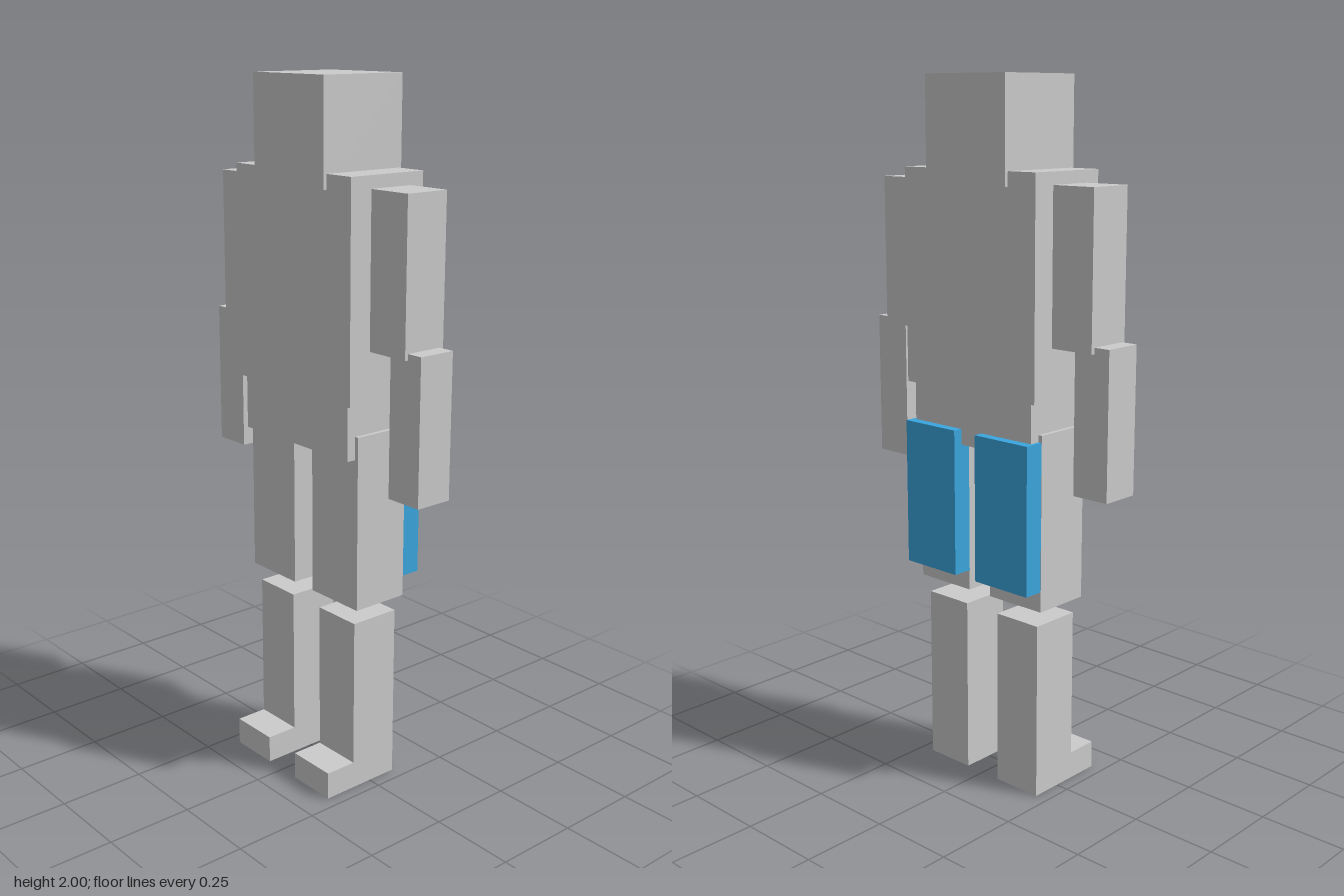
import * as THREE from 'three';

const grey = new THREE.MeshStandardMaterial({ color: 0xcccccc, flatShading: true });
const blue = new THREE.MeshStandardMaterial({ color: 0x3ba6de, flatShading: true });

// Box given by its [min, max] range on each axis
function box(name, [x0, x1], [y0, y1], [z0, z1], material = grey) {
  const mesh = new THREE.Mesh(new THREE.BoxGeometry(x1 - x0, y1 - y0, z1 - z0), material);
  mesh.position.set((x0 + x1) / 2, (y0 + y1) / 2, (z0 + z1) / 2);
  mesh.name = name;
  return mesh;
}

// Lower leg and foot in one: an L-shaped side profile (z, y) extruded across x
function lowerLeg(name, [x0, x1]) {
  const profile = new THREE.Shape([
    [-0.09, 0], [0.158, 0], [0.158, 0.08], [0.063, 0.08], [0.063, 0.515], [-0.09, 0.515],
  ].map(([z, y]) => new THREE.Vector2(-z, y)));
  const geometry = new THREE.ExtrudeGeometry(profile, { depth: x1 - x0, bevelEnabled: false });
  geometry.rotateY(Math.PI / 2); // profile's -z becomes z, depth becomes x
  const mesh = new THREE.Mesh(geometry, grey);
  mesh.position.x = x0;
  mesh.name = name;
  return mesh;
}

export function createModel() {
  const model = new THREE.Group();
  model.name = 'blockFigure';

  // Trunk
  model.add(
    box('head', [-0.145, 0.145], [1.715, 2], [-0.15, 0.12]),
    box('torso', [-0.24, 0.24], [1.155, 1.755], [-0.14, 0.11]),
    box('pelvis', [-0.22, 0.22], [1, 1.155], [-0.13, 0.1]),
  );

  // Limbs, mirrored left and right
  for (const [side, s] of [['left', 1], ['right', -1]]) {
    const span = (inner, outer) => (s > 0 ? [inner, outer] : [-outer, -inner]);
    model.add(
      box(side + 'UpperArm', span(0.251, 0.385), [1.3, 1.722], [-0.084, 0.051]),
      box(side + 'Forearm', span(0.32, 0.433), [0.91, 1.317], [-0.072, 0.041]),
      box(side + 'Thigh', span(0.04, 0.232), [0.565, 1.065], [-0.1, 0.073]),
      box(side + 'ThighBackPad', span(0.039, 0.231), [0.624, 1.045], [-0.158, -0.1], blue),
      lowerLeg(side + 'LowerLeg', span(0.06, 0.211)),
    );
  }
  return model;
}
